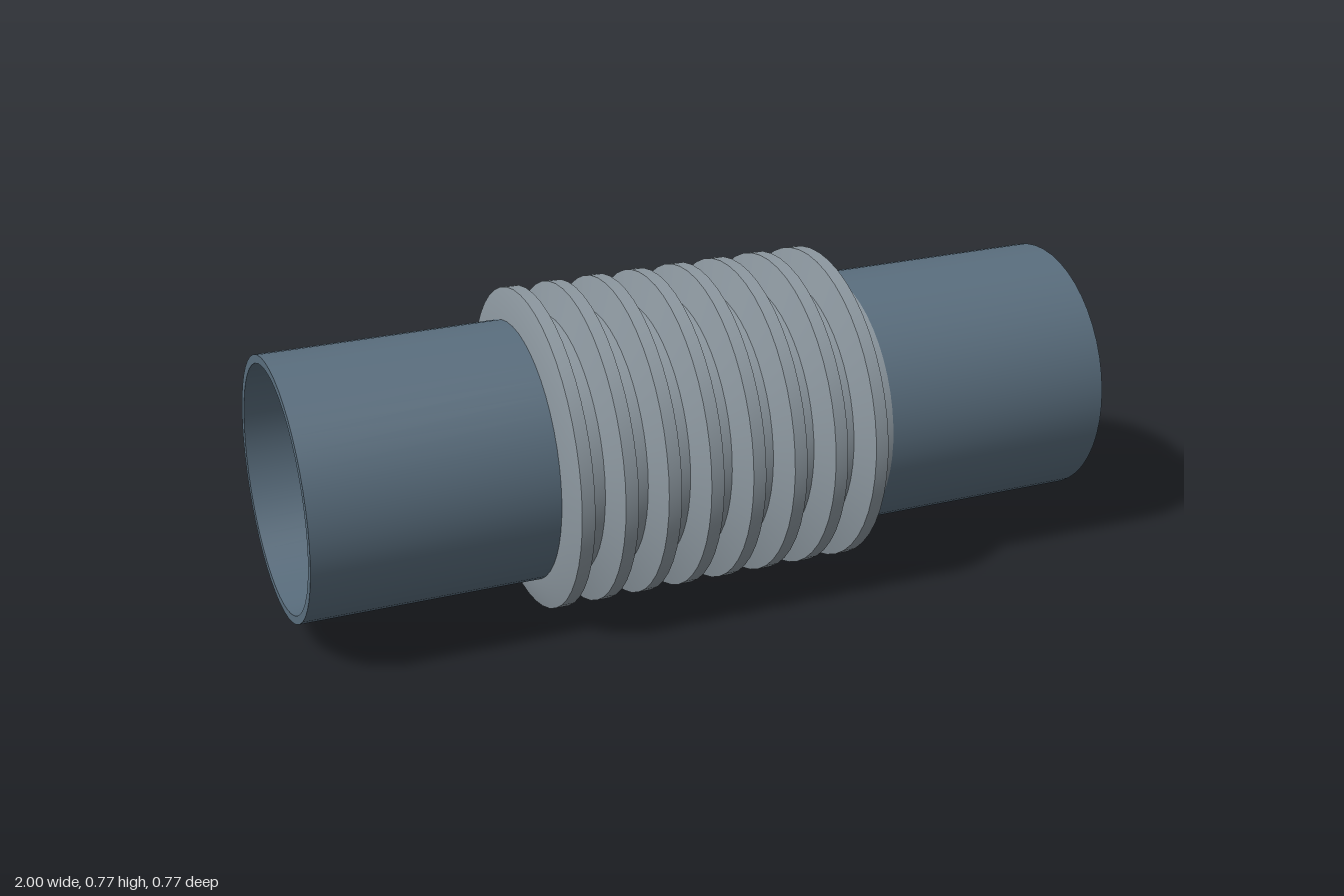
import * as THREE from 'three';
import { toCreasedNormals } from 'three/addons/utils/BufferGeometryUtils.js';

const PIPE_R = 0.311, WALL = 0.02, CREST_R = 0.385;
const HALF_LENGTH = 1, HALF_BELLOWS = 0.42, RIBS = 8, SEGMENTS = 48;

// Hollow ring along x: outer profile of [x, radius] points, inner wall offset inward
function hollowRing(name, outer, color) {
  const outside = outer.map(([x, r]) => new THREE.Vector2(r, x));
  const inside = outer.map(([x, r]) => new THREE.Vector2(r - WALL, x)).reverse();
  const lathe = new THREE.LatheGeometry([...outside, ...inside, outside[0].clone()], SEGMENTS);
  lathe.rotateZ(-Math.PI / 2);
  const geometry = toCreasedNormals(lathe, Math.PI / 6);
  const mesh = new THREE.Mesh(geometry, new THREE.MeshStandardMaterial({ color }));
  mesh.name = name;
  mesh.position.y = CREST_R;
  return mesh;
}

export function createModel() {
  const group = new THREE.Group();
  group.name = 'bellowsCoupling';

  // Straight pipe on each end
  const pipeColor = 0x5a6e7e;
  group.add(
    hollowRing('leftPipe', [[HALF_BELLOWS, PIPE_R], [HALF_LENGTH, PIPE_R]], pipeColor),
    hollowRing('rightPipe', [[-HALF_LENGTH, PIPE_R], [-HALF_BELLOWS, PIPE_R]], pipeColor)
  );

  // Corrugated bellows: rise, crest, fall and valley per rib
  const pitch = (2 * HALF_BELLOWS) / RIBS;
  const profile = [];
  for (let i = 0; i < RIBS; i++) {
    const x = -HALF_BELLOWS + i * pitch;
    profile.push(
      [x, PIPE_R],
      [x + 0.2 * pitch, CREST_R],
      [x + 0.5 * pitch, CREST_R],
      [x + 0.7 * pitch, PIPE_R]
    );
  }
  profile.push([HALF_BELLOWS, PIPE_R]);
  group.add(hollowRing('bellows', profile, 0x8c979f));

  return group;
}
